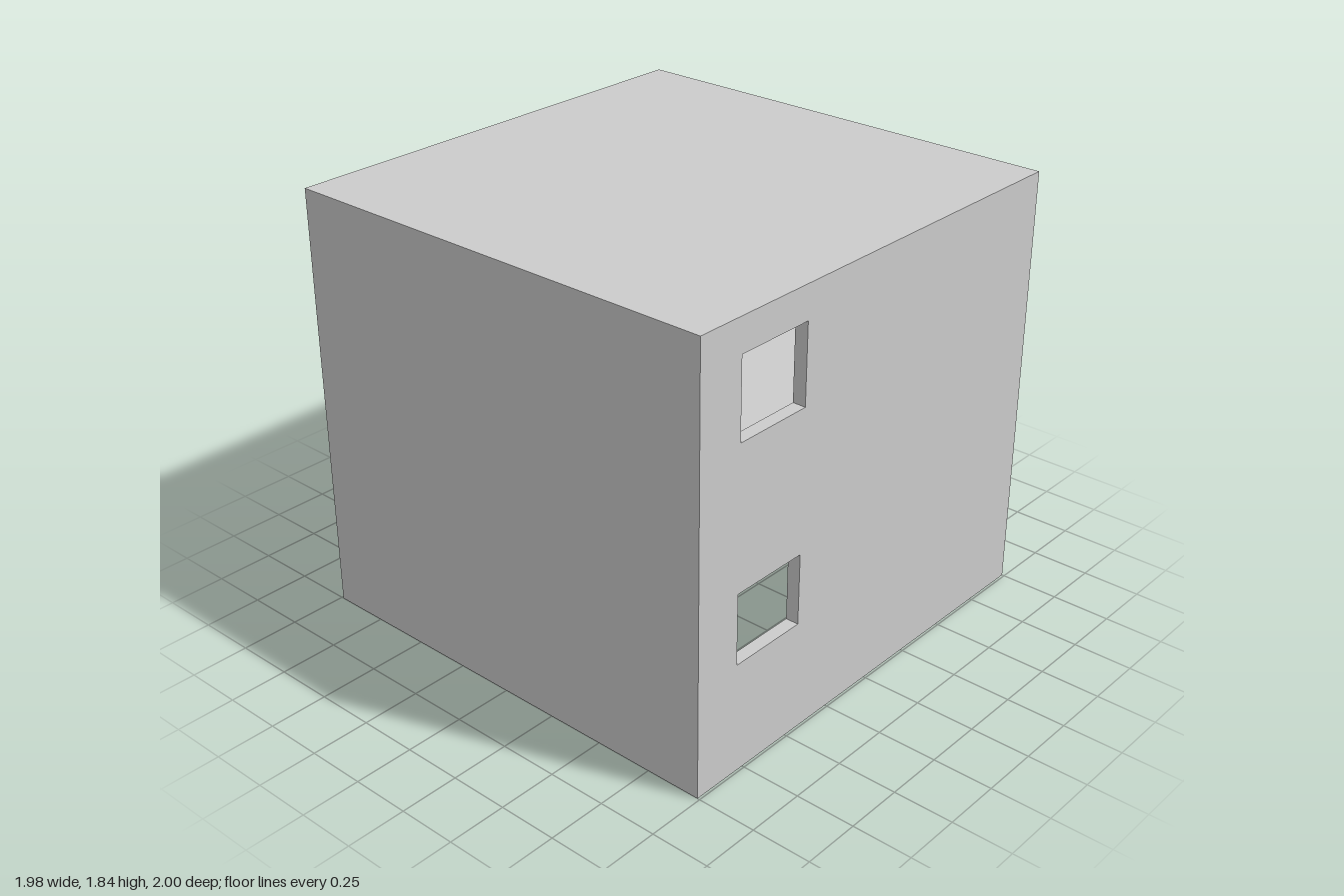
import * as THREE from 'three';

const W = 0.99, D = 1, H = 1.84, T = 0.055;   // half width, half depth, height, wall thickness
const SLAB = 0.9, ROOF = 1.79;                // undersides of upper floor and roof
const material = new THREE.MeshStandardMaterial({ color: 0xcccccc, flatShading: true });

// Rectangular plate [u0, v0, u1, v1] with rectangular openings, extruded along +z
function plate(name, [u0, v0, u1, v1], depth, openings = []) {
  const corners = (a, b, c, d) => [[a, b], [c, b], [c, d], [a, d]].map(p => new THREE.Vector2(...p));
  const shape = new THREE.Shape(corners(u0, v0, u1, v1));
  for (const o of openings) shape.holes.push(new THREE.Path(corners(...o).reverse()));
  const geometry = new THREE.ExtrudeGeometry(shape, { depth, bevelEnabled: false });
  const mesh = new THREE.Mesh(geometry, material);
  mesh.name = name;
  return mesh;
}

export function createModel() {
  const house = new THREE.Group();
  house.name = 'twoStoreyHouse';

  // Front wall, plain
  const front = plate('frontWall', [-W, 0, W, H], T);
  front.position.z = D - T;

  // Back wall with a small vent window
  const back = plate('backWall', [-W, 0, W, H], T, [[-0.95, 0.76, -0.825, 0.9]]);
  back.position.z = -D;

  // Side walls: u runs along -z after the turn
  const side = [-D + T, 0, D - T, H];
  const windows = plate('windowWall', side, T, [
    [-0.79, 0.47, -0.44, 0.77],
    [-0.79, 1.37, -0.44, 1.7],
  ]);
  windows.rotation.y = Math.PI / 2;
  windows.position.x = W - T;

  const door = plate('doorWall', side, T, [[-0.595, 0.01, -0.255, 0.77]]);
  door.rotation.y = Math.PI / 2;
  door.position.x = -W;

  // Upper floor with stair opening: v runs along -z after the turn
  const inner = [-W + T, -D + T, W - T, D - T];
  const floor = plate('upperFloor', inner, 0.05, [[-0.82, -0.335, -0.31, 0.35]]);
  floor.rotation.x = -Math.PI / 2;
  floor.position.y = SLAB;

  // Flat roof set between the walls
  const roof = plate('roof', inner, H - ROOF);
  roof.rotation.x = -Math.PI / 2;
  roof.position.y = ROOF;

  house.add(front, back, windows, door, floor, roof);
  return house;
}
